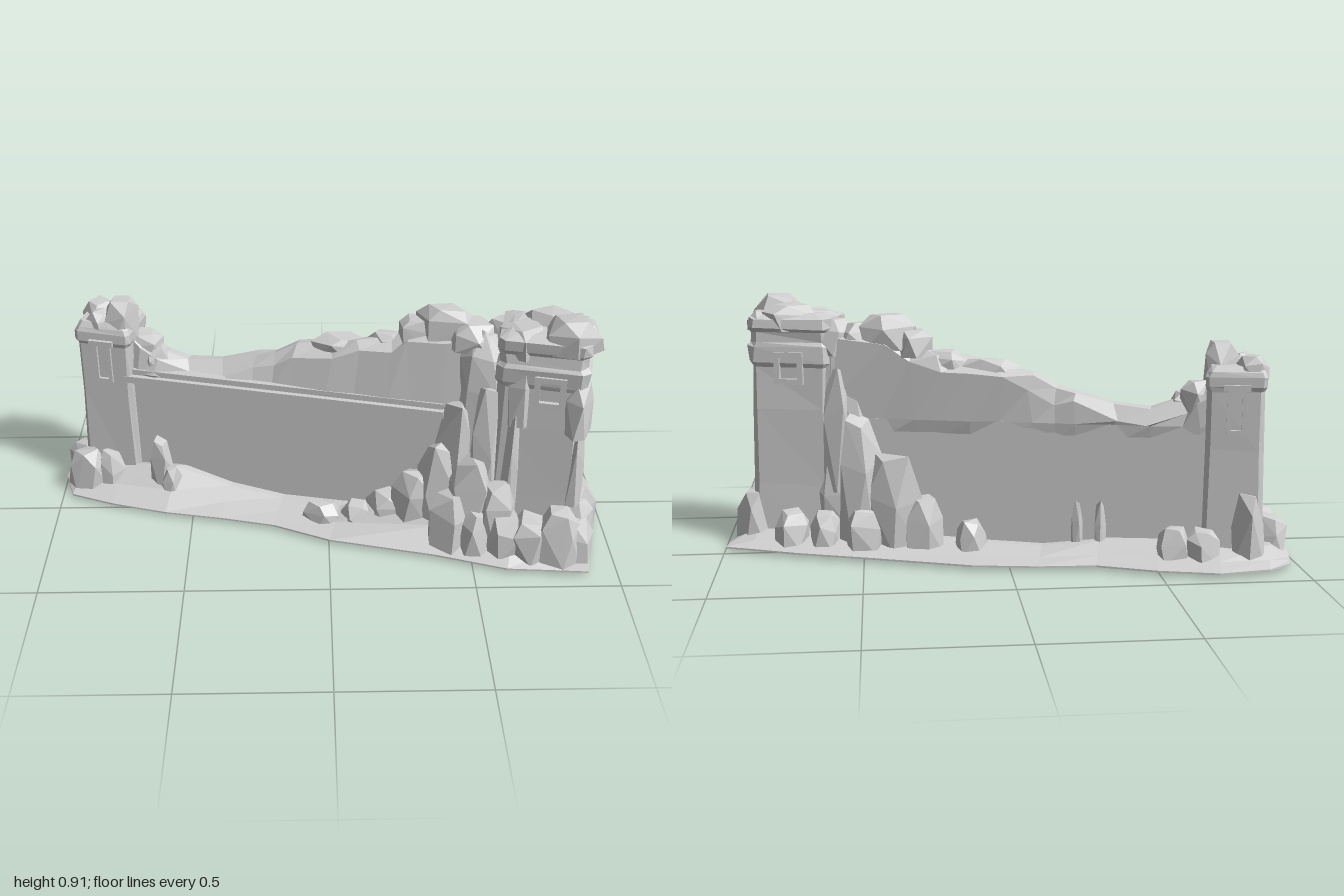
import * as THREE from 'three';
import { ConvexGeometry } from 'three/addons/geometries/ConvexGeometry.js';

export function createModel() {
  const model = new THREE.Group();
  model.name = 'ruinedWall';
  const ruin = new THREE.Group();
  ruin.name = 'ruin';
  ruin.rotation.y = -0.24;
  model.add(ruin);
  const stone = new THREE.MeshStandardMaterial({ color: 0xd0d0d0 });
  stone.name = 'stone grey';

  let seed = 7;
  const jit = (a) => {
    seed = (seed * 16807) % 2147483647;
    return (seed / 2147483647 - 0.5) * 2 * a;
  };

  function add(name, geometry) {
    const mesh = new THREE.Mesh(geometry, stone);
    mesh.name = name;
    ruin.add(mesh);
    return mesh;
  }

  // Faceted skin through closed rings of [x, y, z], capped at both ends
  function loft(name, rings) {
    const pos = [];
    const tri = (...p) => p.forEach((q) => pos.push(...q));
    const n = rings[0].length;
    for (let i = 0; i < rings.length - 1; i++) {
      for (let j = 0; j < n; j++) {
        const k = (j + 1) % n;
        const a = rings[i][j], b = rings[i][k], c = rings[i + 1][k], d = rings[i + 1][j];
        tri(a, b, d);
        tri(b, c, d);
      }
    }
    const first = rings[0], last = rings[rings.length - 1];
    for (let j = 1; j < n - 1; j++) {
      tri(first[0], first[j + 1], first[j]);
      tri(last[0], last[j], last[j + 1]);
    }
    const g = new THREE.BufferGeometry();
    g.setAttribute('position', new THREE.Float32BufferAttribute(pos, 3));
    g.computeVertexNormals();
    add(name, g);
  }

  function box(name, x0, x1, y0, y1, z0, z1) {
    add(name, new THREE.BoxGeometry(x1 - x0, y1 - y0, z1 - z0))
      .position.set((x0 + x1) / 2, (y0 + y1) / 2, (z0 + z1) / 2);
  }

  // Angular stone: wide foot, broken shoulder and a small uneven top
  function rock(name, x, z, w, h, y = 0.002, d = Math.min(w, 0.125)) {
    const pts = [];
    for (const [count, size, level, rough] of [[6, 1, 0, 0], [5, 0.98, 0.6, 0.14], [4, 0.6, 0.94, 0.06]]) {
      const start = jit(3);
      for (let i = 0; i < count; i++) {
        const a = start + (i / count) * Math.PI * 2 + jit(0.25);
        const r = size * (1 + jit(0.08)) * 0.54;
        pts.push(new THREE.Vector3(Math.cos(a) * r * w, (level + jit(rough)) * h, Math.sin(a) * r * d));
      }
    }
    add(name, new ConvexGeometry(pts)).position.set(x, y, z);
  }
  const rocks = (name, list) => list.forEach((r) => rock(name, ...r));

  // Sloping ground: [x, back edge, front edge, height at the wall front]
  const ground = [
    [-1.02, -0.12, 0.05, 0.012], [-0.95, -0.2, 0.165, 0.06], [-0.78, -0.27, 0.19, 0.1],
    [-0.57, -0.27, 0.2, 0.12], [-0.36, -0.24, 0.19, 0.06], [-0.16, -0.28, 0.19, 0.035],
    [0.06, -0.3, 0.233, 0.04], [0.44, -0.265, 0.237, 0.16], [0.7, -0.246, 0.26, 0.15],
    [0.88, -0.22, 0.23, 0.1], [0.975, -0.209, 0.215, 0.008],
  ];
  loft('ground', ground.map(([x, b, f, h]) => {
    const hb = Math.min(h, 0.06);
    return [
      [x, 0, b], [x, 0.006, b], [x, 0.006 + hb * 0.3, b * 0.75], [x, hb, b * 0.45],
      [x, h, f * 0.28], [x, 0.006 + h * 0.4, f * 0.62], [x, 0.006, f], [x, 0, f],
    ];
  }));

  // Wall body and the framed front panel
  box('wallBody', -0.78, 0.66, 0.002, 0.47, -0.095, 0.03);
  box('ledge', -0.745, 0.425, 0.458, 0.484, 0.02, 0.058);
  box('ledgeStep', -0.74, 0.42, 0.484, 0.505, 0, 0.04);
  box('panelPost', -0.755, -0.73, 0.05, 0.47, 0.02, 0.048);

  // Broken wall top, following its skyline of [x, height]
  const crest = [
    [-0.76, 0.66], [-0.7, 0.62], [-0.64, 0.57], [-0.53, 0.535], [-0.4, 0.55], [-0.27, 0.585],
    [-0.2, 0.6], [-0.12, 0.645], [0, 0.67], [0.1, 0.69], [0.22, 0.71], [0.3, 0.745], [0.42, 0.77], [0.66, 0.8],
  ];
  loft('brokenWallTop', crest.map(([x, h]) => {
    const f = 0.018 + jit(0.018);
    return [
      [x, 0.4, -0.09], [x, 0.47, -0.1 + jit(0.008)],
      [x + jit(0.02), h - 0.055 + jit(0.025), -0.1 + jit(0.014)],
      [x, h - 0.01, -0.07 + jit(0.02)], [x, h - 0.004 + jit(0.008), -0.03 + jit(0.018)],
      [x + jit(0.02), h - 0.035 + jit(0.015), f - 0.01], [x, 0.49, f + 0.012], [x, 0.4, 0.01],
    ];
  }));

  // Tower shaft: a chamfered plan, widened by a set amount at each height
  function tower(name, [x0, x1, z0, z1], levels, c, rough) {
    loft(name, levels.map(([y, o]) => [
      [x0 - o + c, z0 - o], [x0 - o, z0 - o + c], [x0 - o, z1 + o - c], [x0 - o + c, z1 + o],
      [x1 + o - c, z1 + o], [x1 + o, z1 + o - c], [x1 + o, z0 - o + c], [x1 + o - c, z0 - o],
    ].map(([x, z]) => [x + jit(rough), y + jit(y ? rough : 0), z + jit(rough)])));
  }
  tower('rightTower', [0.605, 0.895, -0.105, 0.116], [
    [0.003, 0.01], [0.22, 0.004], [0.5, 0], [0.65, 0], [0.665, 0.009], [0.72, 0.009],
    [0.735, 0.001], [0.77, 0.002], [0.785, 0.01], [0.82, 0.008], [0.835, -0.03],
  ], 0.025, 0.004);
  tower('leftTower', [-0.915, -0.72, -0.125, 0.055], [
    [0.003, 0.008], [0.4, 0], [0.6, 0], [0.615, 0.007], [0.65, 0.007], [0.665, 0], [0.685, -0.012],
  ], 0.014, 0.003);
  // Collapsed masonry joining the wall to the right tower
  tower('brokenShoulder', [0.47, 0.64, -0.095, 0.06], [
    [0.003, 0.03], [0.2, 0.025], [0.4, 0.01], [0.58, 0.005], [0.7, -0.005], [0.79, -0.03],
  ], 0.04, 0.015);

  // Stone window frames on both faces of each tower
  function windowFrame(name, x, y, z, w, h, t, back) {
    const rect = (P, a, b) => new P([[-a, -b], [a, -b], [a, b], [-a, b]].map((p) => new THREE.Vector2(...p)));
    const shape = rect(THREE.Shape, w / 2, h / 2);
    shape.holes.push(rect(THREE.Path, w / 2 - t, h / 2 - t));
    const m = add(name, new THREE.ExtrudeGeometry(shape, { depth: 0.02, bevelEnabled: false }));
    m.position.set(x, y, z);
    if (back) m.rotation.y = Math.PI;
  }
  for (const back of [false, true]) {
    windowFrame('rightTowerWindow', back ? 0.75 : 0.78, 0.645, back ? -0.103 : 0.113, 0.105, 0.115, 0.02, back);
    windowFrame('leftTowerWindow', -0.82, 0.535, back ? -0.118 : 0.046, 0.065, 0.16, 0.014, back);
    box('windowLintel', -0.865, -0.775, 0.605, 0.625, back ? -0.145 : 0.05, back ? -0.11 : 0.075);
  }

  // Stones below are listed as x, z, width, height, then base height and depth where needed
  rocks('rightTowerTop', [
    [0.83, 0.05, 0.19, 0.115, 0.78, 0.16], [0.76, -0.04, 0.2, 0.1, 0.775, 0.15], [0.87, -0.03, 0.1, 0.07, 0.775, 0.15],
    [0.68, 0.03, 0.16, 0.1, 0.75, 0.18], [0.61, -0.04, 0.17, 0.14, 0.69],
  ]);
  rocks('leftTowerTop', [
    [-0.765, -0.015, 0.12, 0.16, 0.605, 0.14], [-0.87, -0.065, 0.11, 0.085, 0.635, 0.13], [-0.84, 0.01, 0.1, 0.09, 0.63, 0.09],
  ]);
  rocks('wallTopBoulder', [
    [0.41, -0.05, 0.21, 0.13, 0.715, 0.12], [0.31, -0.05, 0.14, 0.1, 0.69], [0.51, -0.03, 0.18, 0.1, 0.71, 0.14],
    [-0.69, -0.04, 0.12, 0.12, 0.51], [0.06, -0.05, 0.26, 0.08, 0.61, 0.1], [-0.64, -0.02, 0.1, 0.08, 0.5],
    [0.2, -0.06, 0.16, 0.08, 0.64, 0.09],
  ]);

  // Rock mass climbing the right tower
  rocks('towerButtress', [
    [0.48, 0.05, 0.15, 0.53], [0.58, 0.075, 0.12, 0.66], [0.42, 0.08, 0.14, 0.38],
    [0.34, 0.08, 0.17, 0.25], [0.54, 0.13, 0.15, 0.36], [0.63, 0.14, 0.13, 0.29], [0.67, 0.115, 0.06, 0.56],
    [0.24, 0.07, 0.15, 0.14],
  ]);
  rocks('towerFaceStone', [
    [0.875, 0.07, 0.1, 0.19, 0.49, 0.16], [0.885, 0.085, 0.06, 0.34, 0.2, 0.08], [0.68, 0.1, 0.08, 0.24, 0.5, 0.07],
    [0.885, -0.03, 0.035, 0.5, 0.15, 0.1],
  ]);
  // Rubble skirt around the outer corner of the right tower
  for (let i = 0; i < 9; i++) {
    const a = i / 8;
    rock('towerRubble', 0.48 + Math.min(a * 0.75, 0.415), 0.16 - Math.max(a - 0.55, 0) * 0.5,
      0.15 + jit(0.015), 0.19 + jit(0.05), 0.002, 0.14);
  }

  // Boulders leaning on the back
  rocks('backBoulder', [
    [0.5, -0.12, 0.15, 0.5], [0.37, -0.13, 0.22, 0.35], [0.58, -0.08, 0.13, 0.46, 0.2, 0.09],
    [0.26, -0.14, 0.14, 0.2], [0.47, -0.17, 0.13, 0.16], [-0.87, -0.115, 0.11, 0.25],
  ]);
  rocks('backRubble', [0.74, 0.62, 0.09, -0.62, -0.72].map((x) => [x, -0.15, 0.11 + jit(0.01), 0.13 + jit(0.02)]));
  rocks('backStub', [-0.36, -0.28].map((x) => [x, -0.098, 0.04, 0.2]));

  // Loose stones along the front and the left end
  rocks('looseStone', [
    [-0.91, 0.08, 0.15, 0.17], [-0.95, 0, 0.12, 0.15], [-0.82, 0.07, 0.1, 0.17],
    [-0.62, 0.07, 0.085, 0.24], [-0.58, 0.09, 0.08, 0.14], [0, 0.115, 0.13, 0.085, 0.002, 0.09],
    [0.13, 0.09, 0.11, 0.08],
  ]);

  return model;
}
